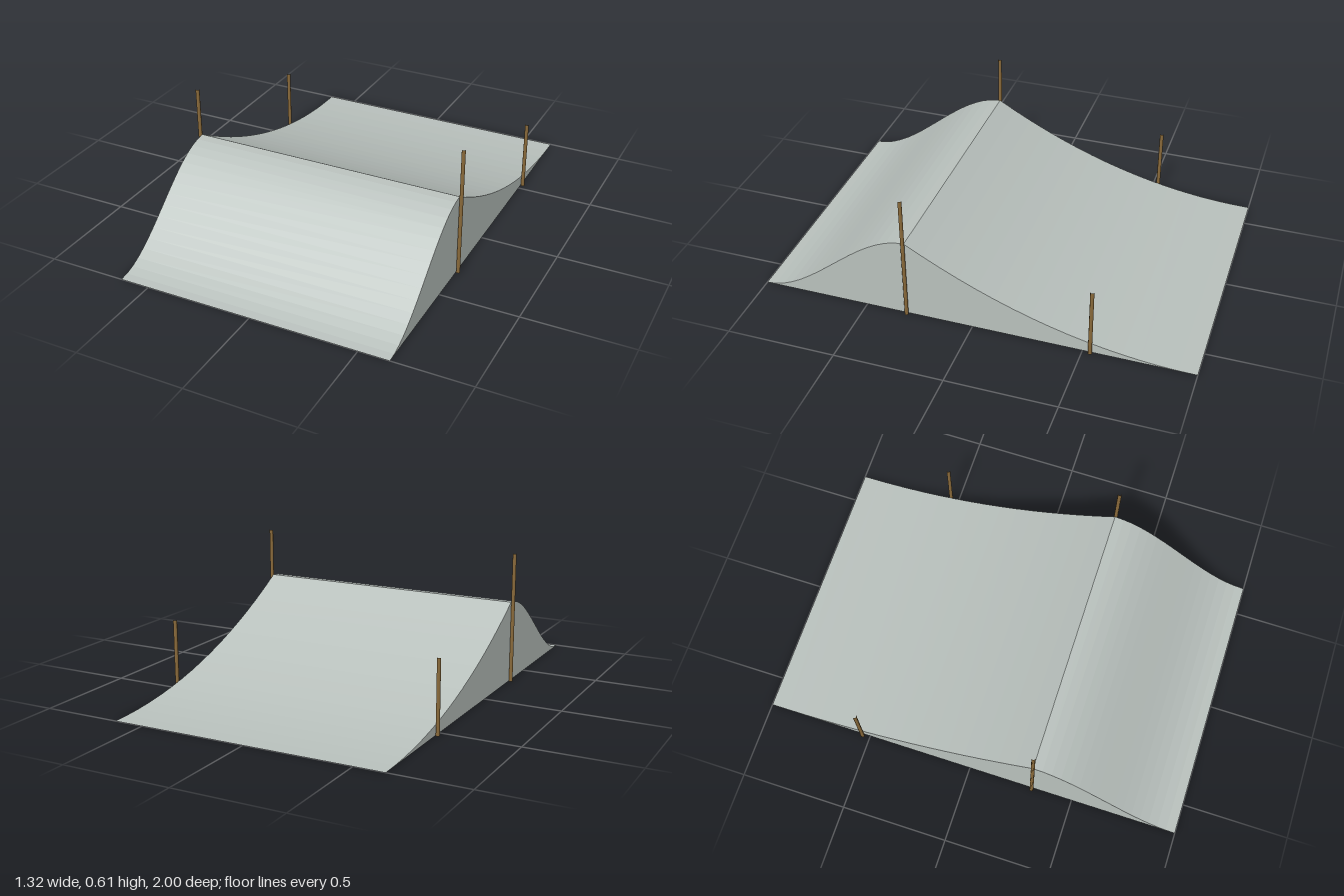
import * as THREE from 'three';

const HALF = 0.64;    // half width of the ramp
const CREST_Z = 0.305;
const CREST_Y = 0.38;
const STEPS = 16;     // facets on each slope

// Ramp profile as [z, y] from the back edge, over the crest, to the front edge
function rampProfile() {
  const pts = [];
  for (let i = 0; i <= STEPS; i++) {
    const t = i / STEPS;
    pts.push([-1 + t * (CREST_Z + 1), CREST_Y * t * t]);
  }
  for (let i = 1; i <= STEPS; i++) {
    const t = 1 - i / STEPS;
    pts.push([1 - t * (1 - CREST_Z), CREST_Y * t * t * (3 - 2 * t)]);
  }
  return pts;
}

export function createModel() {
  const group = new THREE.Group();
  const concrete = new THREE.MeshStandardMaterial({ color: 0xb8c0bc, side: THREE.DoubleSide });
  concrete.name = 'pale grey';
  const wood = new THREE.MeshStandardMaterial({ color: 0x8a6a3a });
  wood.name = 'brown';

  const add = (name, geometry, material) => {
    const mesh = new THREE.Mesh(geometry, material);
    mesh.name = name;
    group.add(mesh);
    return mesh;
  };

  // Curved top sheet, faceted, open underneath
  const profile = rampProfile();
  const sheet = new THREE.PlaneGeometry(2 * HALF, 2, 1, profile.length - 1);
  sheet.rotateX(-Math.PI / 2);
  const pos = sheet.attributes.position;
  for (let i = 0; i < pos.count; i++) {
    const [z, y] = profile[Math.floor(i / 2)];
    pos.setXYZ(i, pos.getX(i), y, z);
  }
  const faceted = sheet.toNonIndexed();
  faceted.computeVertexNormals();
  add('rampSurface', faceted, concrete);

  // Flat side walls under the profile, and the poles beside them
  const outline = new THREE.Shape(profile.map(([z, y]) => new THREE.Vector2(z, y)));
  for (const [side, s] of [['left', 1], ['right', -1]]) {
    const wall = new THREE.ShapeGeometry(outline);
    wall.rotateY(-Math.PI / 2);
    add(side + 'Wall', wall, concrete).position.x = s * HALF;

    for (const [name, z, height] of [['CrestPole', 0.307, 0.61], ['RearPole', -0.535, 0.335]]) {
      const pole = new THREE.CylinderGeometry(0.009, 0.009, height, 8, 1, true);
      add(side + name, pole, wood).position.set(s * 0.649, height / 2, z);
    }
  }
  return group;
}
